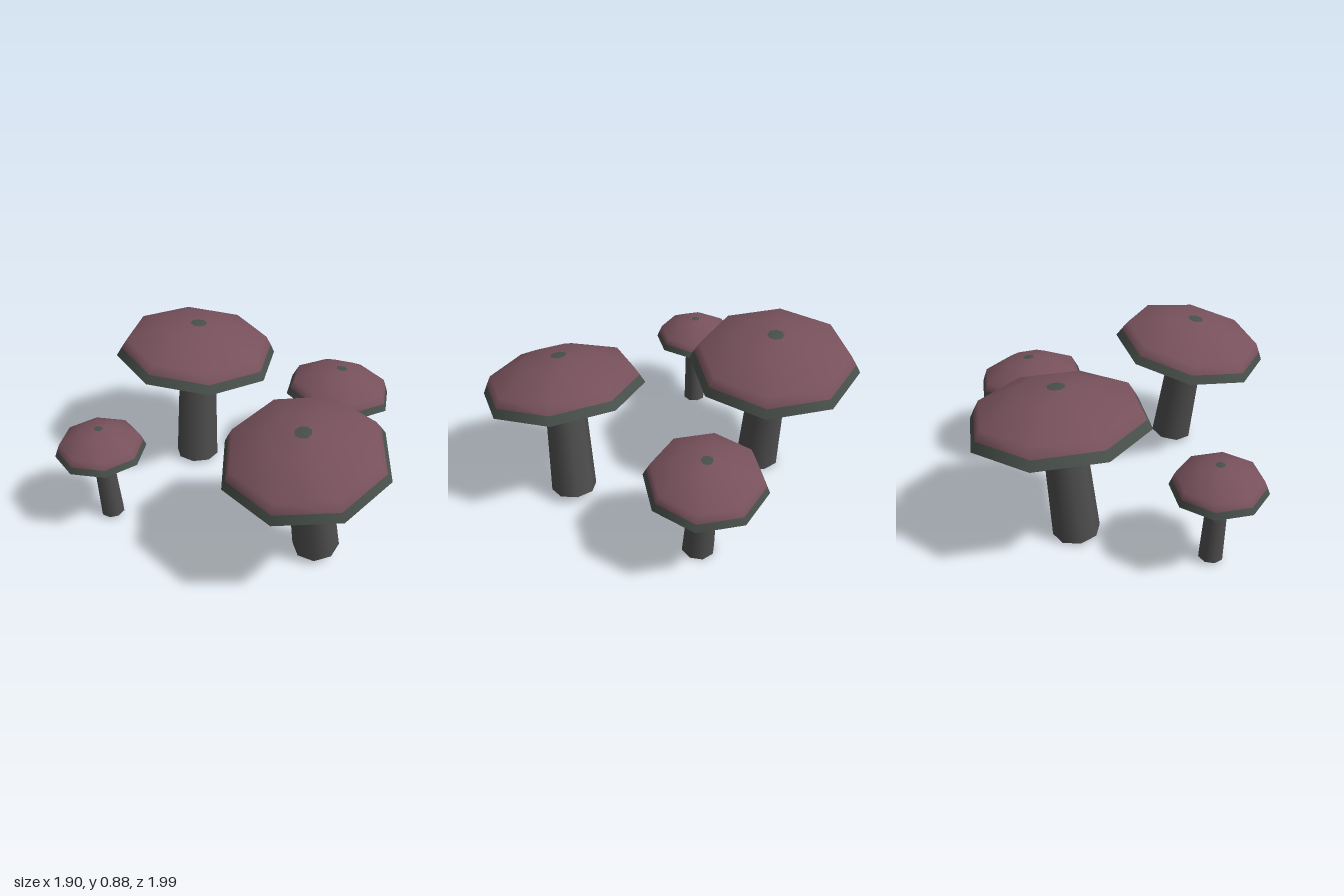
import * as THREE from 'three';

const SIDES = 8;
const UP = new THREE.Vector3(0, 1, 0);

// rim: centre of the cap rim, slope: fall of the cap plane along x and z
const MUSHROOMS = [
  { name: 'backMushroom', rim: [0.04, 0.682, -0.56], slope: [-0.076, -0.04], radius: 0.465, height: 0.2, spin: 20,
    base: [-0.01, 0.015, -0.525], top: [0.04, 0.73, -0.548], r0: 0.127, r1: 0.104 },
  { name: 'frontMushroom', rim: [-0.08, 0.647, 0.575], slope: [0.163, -0.052], radius: 0.435, height: 0.19, spin: 29,
    base: [0.022, 0.045, 0.58], top: [-0.075, 0.69, 0.577], r0: 0.125, r1: 0.103 },
  { name: 'rightMushroom', rim: [-0.73, 0.445, -0.34], slope: [0, 0], radius: 0.243, height: 0.143, spin: 22,
    base: [-0.71, 0.018, -0.335], top: [-0.732, 0.48, -0.337], r0: 0.066, r1: 0.054 },
  { name: 'leftMushroom', rim: [0.655, 0.468, 0.005], slope: [-0.11, -0.01], radius: 0.313, height: 0.162, spin: 20,
    base: [0.622, 0.008, 0.025], top: [0.657, 0.51, 0.008], r0: 0.088, r1: 0.07 },
];

// Cap outline from rim to crown, as fractions of radius and height
const CAP = [[1, 0], [0.945, 0.24], [0.88, 0.5], [0.45, 0.9], [0.1, 0.99], [0, 1]];
// Material of each band between outline points: 0 cap red, 1 mossy lip and crown spot
const BANDS = [1, 0, 0, 0, 1];
const UNDERSIDE = [[0, 0.25], [0.5, 0.18], [1, 0]];

function turned(outline, m) {
  const points = outline.map(([r, y]) => new THREE.Vector2(r * m.radius, y * m.height));
  return new THREE.LatheGeometry(points, SIDES, THREE.MathUtils.degToRad(m.spin));
}

function buildMushroom(m, mats) {
  const group = new THREE.Group();
  group.name = m.name;

  // Leaning tapered stem
  const base = new THREE.Vector3(...m.base);
  const axis = new THREE.Vector3(...m.top).sub(base);
  const stem = new THREE.Mesh(new THREE.CylinderGeometry(m.r1, m.r0, axis.length(), SIDES), mats.stem);
  stem.name = 'stem';
  stem.position.copy(base).addScaledVector(axis, 0.5);
  stem.quaternion.setFromUnitVectors(UP, axis.clone().normalize());
  group.add(stem);

  // Tilted cap, with one geometry group for each band on each side
  const cap = new THREE.Group();
  cap.name = 'cap';
  const domeGeometry = turned(CAP, m);
  // Each side lists its bands in order; the pole band has a full quad too
  const perSide = domeGeometry.index.count / SIDES;
  const perBand = perSide / BANDS.length;
  for (let s = 0; s < SIDES; s++) {
    BANDS.forEach((mat, b) => domeGeometry.addGroup(s * perSide + b * perBand, perBand, mat));
  }
  const dome = new THREE.Mesh(domeGeometry, [mats.cap, mats.moss]);
  dome.name = 'capTop';
  const underside = new THREE.Mesh(turned(UNDERSIDE, m), mats.stem);
  underside.name = 'capUnderside';
  cap.add(dome, underside);
  cap.position.set(...m.rim);
  const normal = new THREE.Vector3(-m.slope[0], 1, -m.slope[1]).normalize();
  cap.quaternion.setFromUnitVectors(UP, normal);
  group.add(cap);
  return group;
}

export function createModel() {
  const material = (name, color) => {
    const mat = new THREE.MeshStandardMaterial({ color });
    mat.name = name;
    return mat;
  };
  const mats = {
    cap: material('dull red cap', 0x77515c),
    moss: material('mossy grey', 0x48504b),
    stem: material('dark grey stem', 0x4e4e4e),
  };
  const model = new THREE.Group();
  model.name = 'mushroomCluster';
  MUSHROOMS.forEach((m) => model.add(buildMushroom(m, mats)));
  return model;
}
